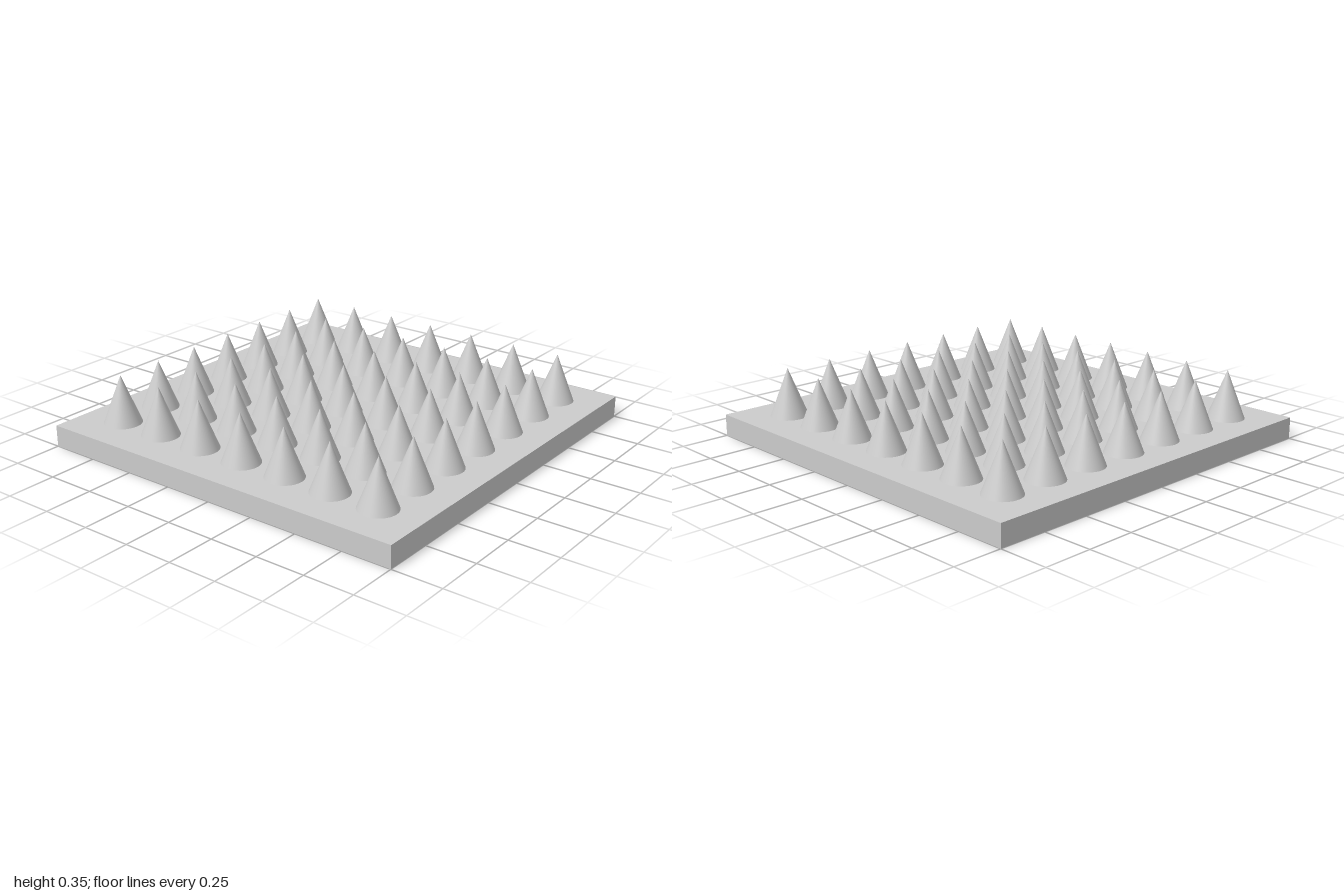
import * as THREE from 'three';

const BASE_HEIGHT = 0.11;
const SPIKE_HEIGHT = 0.245;
const SPIKE_RADIUS = 0.095;
const SPACING = 0.257;
const COUNT = 7;

export function createModel() {
  const model = new THREE.Group();
  model.name = 'spikeBoard';
  const material = new THREE.MeshStandardMaterial({ color: 0xcccccc });

  // Square base slab
  const base = new THREE.Mesh(new THREE.BoxGeometry(2, BASE_HEIGHT, 2), material);
  base.name = 'base';
  base.position.y = BASE_HEIGHT / 2;
  model.add(base);

  // Square grid of conical spikes standing on the slab
  const spikes = new THREE.Group();
  spikes.name = 'spikes';
  const cone = new THREE.ConeGeometry(SPIKE_RADIUS, SPIKE_HEIGHT, 48, 1, true);
  const middle = (COUNT - 1) / 2;
  for (let row = 0; row < COUNT; row++) {
    for (let column = 0; column < COUNT; column++) {
      const spike = new THREE.Mesh(cone, material);
      spike.name = `spike_${row + 1}_${column + 1}`;
      spike.position.set(
        (column - middle) * SPACING - 0.002,
        BASE_HEIGHT + SPIKE_HEIGHT / 2,
        (row - middle) * SPACING - 0.002
      );
      spikes.add(spike);
    }
  }
  model.add(spikes);

  return model;
}
